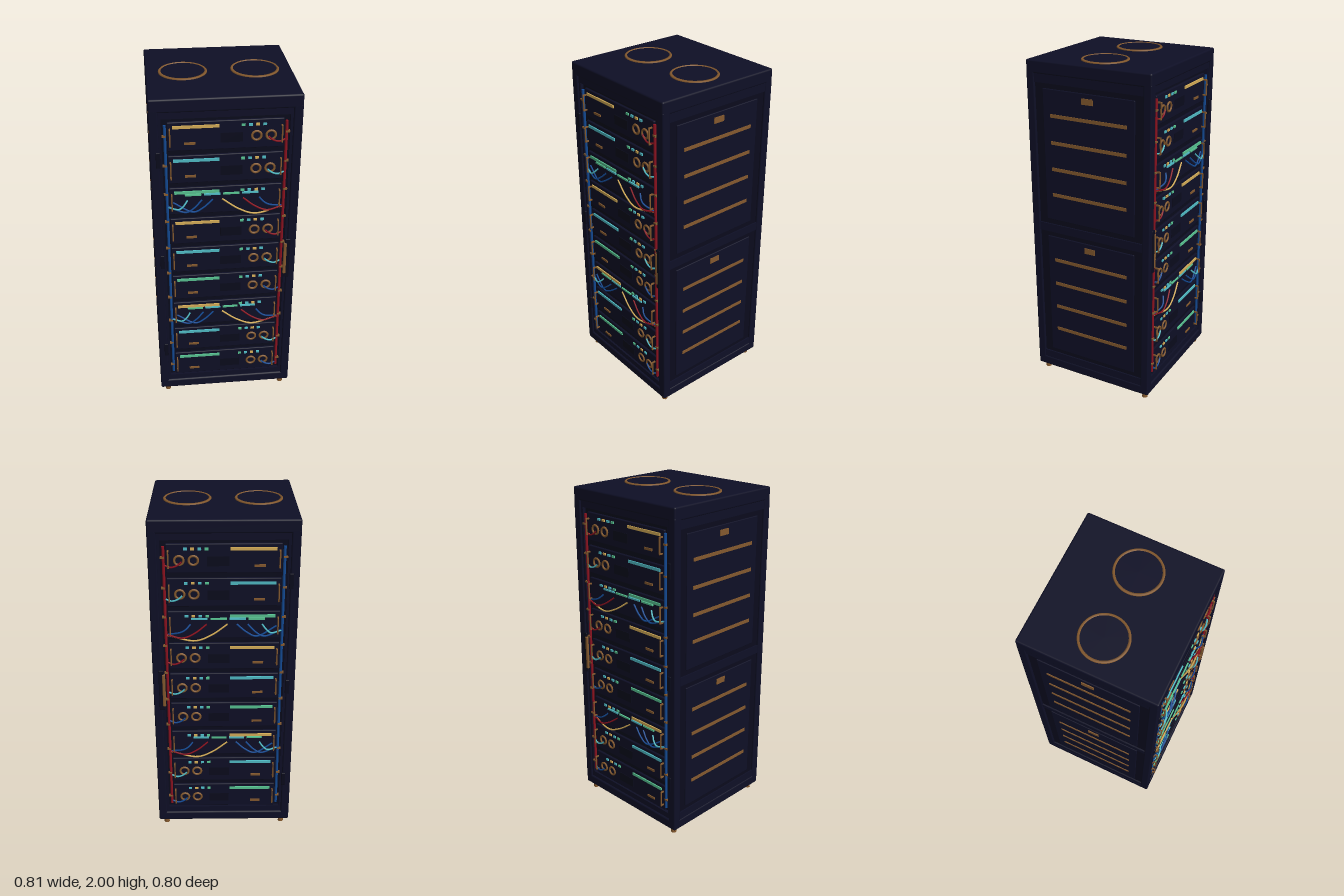
import * as THREE from 'three';
import { RoundedBoxGeometry } from 'three/addons/geometries/RoundedBoxGeometry.js';

const mat = (name, color) => {
  const m = new THREE.MeshStandardMaterial({ color });
  m.name = name;
  return m;
};

export function createModel() {
  const M = {
    navy: mat('navy cabinet', 0x0e0f26),
    dark: mat('dark recess', 0x0a0b1c),
    bronze: mat('bronze trim', 0x84592e),
    yellow: mat('yellow light', 0xd6ae58),
    cyan: mat('cyan light', 0x50bcc6),
    green: mat('green light', 0x58c492),
    red: mat('red cable', 0x8c1220),
    blue: mat('blue cable', 0x134a94),
  };
  const root = new THREE.Group();
  root.name = 'serverRack';

  const add = (parent, name, geo, m, x = 0, y = 0, z = 0) => {
    const mesh = new THREE.Mesh(geo, m);
    mesh.name = name;
    mesh.position.set(x, y, z);
    parent.add(mesh);
    return mesh;
  };
  const box = (parent, name, m, w, h, d, x, y, z) =>
    add(parent, name, new THREE.BoxGeometry(w, h, d), m, x, y, z);
  const rbox = (parent, name, m, w, h, d, x, y, z, r = 0.01) =>
    add(parent, name, new RoundedBoxGeometry(w, h, d, 2, r), m, x, y, z);
  const cable = (parent, name, m, pts, r) =>
    add(parent, name, new THREE.TubeGeometry(
      new THREE.CatmullRomCurve3(pts.map(p => new THREE.Vector3(...p))), 20, r, 6), m);
  const group = (parent, name) => {
    const g = new THREE.Group();
    g.name = name;
    parent.add(g);
    return g;
  };

  // Cabinet shell: core, plinth, roof and corner posts
  const cabinet = group(root, 'cabinet');
  box(cabinet, 'core', M.dark, 0.785, 1.86, 0.72, 0, 1.01, 0);
  rbox(cabinet, 'plinth', M.navy, 0.81, 0.06, 0.78, 0, 0.07, 0);
  rbox(cabinet, 'roof', M.navy, 0.81, 0.075, 0.78, 0, 1.955, 0);
  for (const sx of [-1, 1]) for (const sz of [-1, 1]) {
    rbox(cabinet, 'cornerPost', M.navy, 0.05, 1.86, 0.05, sx * 0.38, 1.005, sz * 0.365, 0.008);
    // Levelling foot and caster at each corner
    add(cabinet, 'foot', new THREE.CylinderGeometry(0.012, 0.017, 0.045, 12), M.bronze, sx * 0.36, 0.0225, sz * 0.35);
    const wheel = add(cabinet, 'caster', new THREE.CylinderGeometry(0.018, 0.018, 0.02, 14), M.dark, sx * 0.335, 0.022, sz * 0.315);
    wheel.rotation.z = Math.PI / 2;
  }

  // Roof fan rings
  for (const x of [-0.2, 0.2]) {
    const fan = group(cabinet, 'roofFan');
    const disc = new THREE.CylinderGeometry(0.125, 0.125, 0.008, 40);
    add(fan, 'fanCover', disc, M.navy, x, 1.993, 0);
    const ring = new THREE.LatheGeometry([
      [0.121, 1.99], [0.135, 1.99], [0.135, 1.996], [0.131, 2], [0.121, 2], [0.121, 1.99],
    ].map(p => new THREE.Vector2(...p)), 48);
    add(fan, 'fanRing', ring, M.bronze, x, 0, 0);
  }

  // Side walls: two vented panels on each side
  for (const s of [-1, 1]) {
    const side = group(root, s > 0 ? 'leftSide' : 'rightSide');
    for (const y of [0.12, 1.005, 1.895])
      box(side, 'sideRail', M.navy, 0.012, 0.05, 0.7, s * 0.395, y, 0);
    for (const y of [0.56, 1.45]) {
      rbox(side, 'sidePanel', M.navy, 0.012, 0.78, 0.58, s * 0.393, y, 0, 0.004);
      box(side, 'panelLatch', M.bronze, 0.008, 0.034, 0.07, s * 0.4, y + 0.347, 0);
      for (let i = 0; i < 4; i++)
        box(side, 'ventSlot', M.bronze, 0.008, 0.02, 0.485, s * 0.399, y + 0.24 - i * 0.157, 0);
    }
  }

  // Server unit with status bar, lights, dials and a short lead
  const lights = [M.yellow, M.cyan, M.green];
  const leads = [M.red, M.cyan, M.blue];
  function unit(parent, s, i) {
    const y = 1.83 - i * 0.1944;
    const patch = i === 2 || i === 6;
    const g = group(parent, patch ? 'patchPanel' : 'serverUnit');
    rbox(g, 'faceplate', M.navy, 0.62, 0.165, 0.02, 0, y - 0.055, s * 0.363, 0.005);
    box(g, 'statusBar', lights[i % 3], 0.248, 0.016, 0.008, -0.158, y, s * 0.376);
    [M.green, M.cyan, M.yellow, M.cyan].forEach((m, k) =>
      box(g, 'statusLight', m, 0.02, 0.013, 0.008, 0.092 + k * 0.038, y, s * 0.376));
    for (const sx of [-1, 1]) {
      rbox(g, 'pullHandle', M.bronze, 0.008, 0.1, 0.008, sx * 0.297, y - 0.055, s * 0.394, 0.003);
      for (const dy of [-0.1, -0.01])
        box(g, 'handleMount', M.bronze, 0.008, 0.008, 0.022, sx * 0.297, y + dy, s * 0.382);
    }
    if (patch) {
      for (let k = 0; k < 4; k++)
        box(g, 'portStrip', k % 2 ? M.cyan : M.green, 0.09, 0.01, 0.008, -0.18 + k * 0.105, y - 0.016, s * 0.378);
      // Loose cables: start x, sag x, sag depth, end x, end depth
      [
        [M.cyan, -0.21, -0.26, -0.095, -0.325, -0.085],
        [M.blue, -0.07, -0.18, -0.115, -0.29, -0.06],
        [M.blue, -0.13, -0.22, -0.115, -0.325, -0.08],
        [M.yellow, -0.02, 0.16, -0.142, 0.315, -0.115],
        [M.red, 0.095, 0.23, -0.125, 0.32, -0.11],
        [M.blue, 0.185, 0.24, -0.09, 0.31, -0.11],
      ].forEach(([m, x0, x1, d1, x2, d2]) => cable(g, 'patchCable', m, [
        [x0, y - 0.05, s * 0.374],
        [(x0 + x1) / 2, y - 0.05 + (d1 + 0.05) * 0.65, s * 0.389],
        [x1, y + d1, s * 0.394],
        [x2, y + d2, s * 0.376],
      ], 0.005));
    } else {
      box(g, 'nameTag', M.bronze, 0.06, 0.013, 0.008, -0.192, y - 0.095, s * 0.375);
      box(g, 'driveBay', M.dark, 0.12, 0.055, 0.006, 0.03, y - 0.07, s * 0.373);
      for (const x of [0.163, 0.24])
        add(g, 'dialRing', new THREE.TorusGeometry(0.025, 0.0065, 8, 24), M.bronze, x, y - 0.065, s * 0.375);
      cable(g, 'lead', leads[i % 3], [
        [0.225, y - 0.07, s * 0.381], [0.25, y - 0.09, s * 0.385],
        [0.285, y - 0.1, s * 0.385], [0.32, y - 0.09, s * 0.376],
      ], 0.005);
    }
  }

  // Front and back bays share one layout, mirrored in depth
  for (const s of [1, -1]) {
    const bay = group(root, s > 0 ? 'frontBay' : 'backBay');
    for (let i = 0; i < 9; i++) unit(bay, s, i);
    for (const y of [0.115, 1.9])
      box(bay, 'doorRail', M.navy, 0.72, 0.04, 0.02, 0, y, s * 0.37);
    for (const [sx, m] of [[-1, M.blue], [1, M.red]]) {
      add(bay, 'trunkCable', new THREE.CylinderGeometry(0.008, 0.008, 1.68, 10), m, sx * 0.322, 1.005, s * 0.376);
      box(bay, 'doorStile', M.navy, 0.018, 1.8, 0.02, sx * 0.349, 1.005, s * 0.37);
      for (let i = 0; i < 10; i++)
        box(bay, 'cableClip', M.bronze, 0.022, 0.01, 0.016, sx * 0.328, 1.785 - i * 0.1735, s * 0.379);
    }
    // Door hinges and handle
    for (const y of [0.35, 1.0, 1.65])
      rbox(bay, 'hinge', M.dark, 0.024, 0.09, 0.014, -0.362, y, s * 0.388, 0.004);
    rbox(bay, 'handlePlate', M.dark, 0.03, 0.26, 0.012, 0.358, 0.98, s * 0.388, 0.004);
    rbox(bay, 'doorHandle', M.bronze, 0.018, 0.21, 0.016, 0.344, 0.98, s * 0.389, 0.005);
  }
  return root;
}
